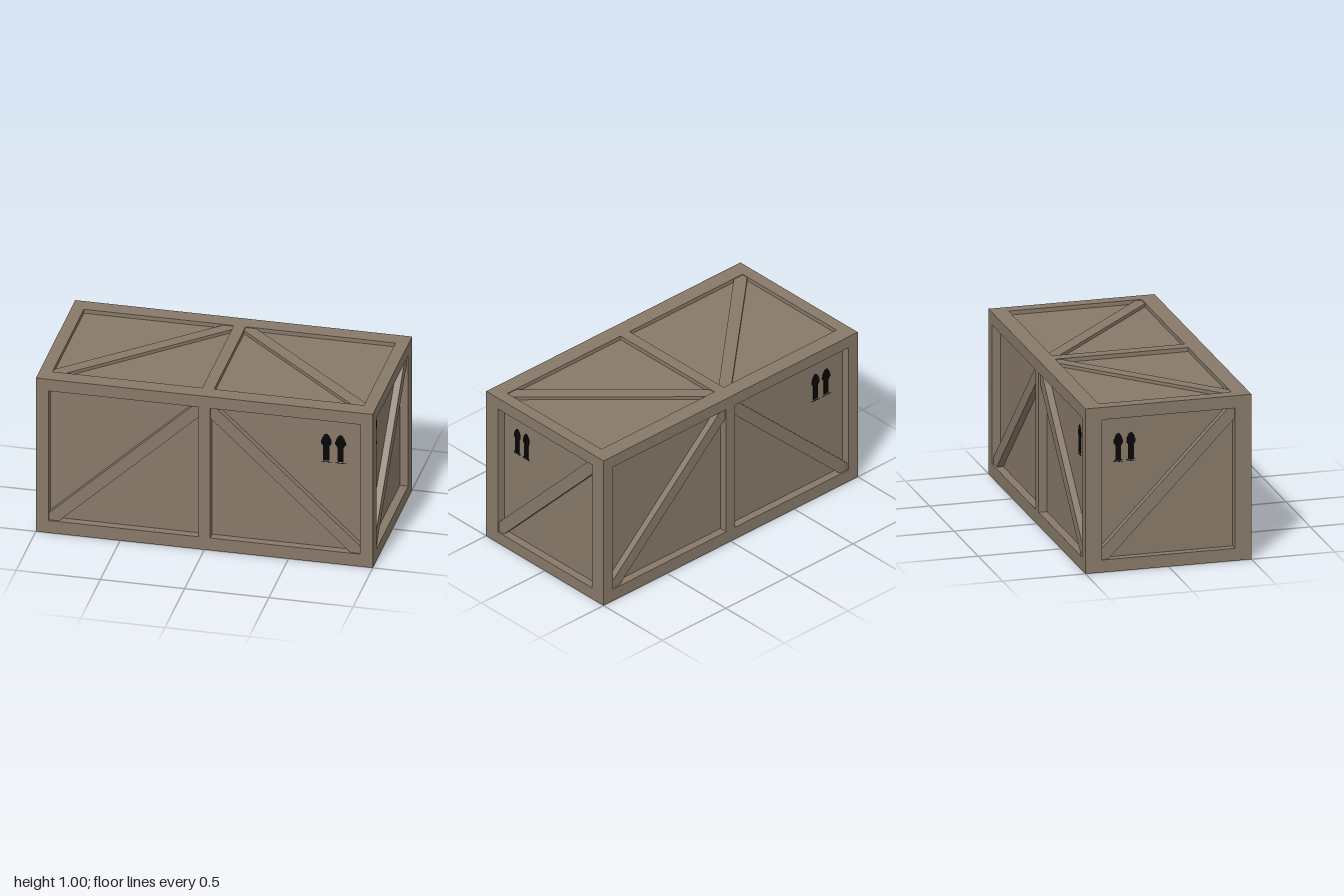
import * as THREE from 'three';

const DEEP = 0.05; // recess of the upright panels behind their frames
const SHALLOW = 0.025; // recess of the lid and base panels

export function createModel() {
  const wood = new THREE.MeshStandardMaterial({ color: 0x887969 });
  wood.name = 'weathered wood';
  const ink = new THREE.MeshStandardMaterial({ color: 0x060606 });
  ink.name = 'black paint';

  const crate = new THREE.Group();
  crate.name = 'crate';

  const polygon = (pts, Type = THREE.Shape) => new Type(pts.map(([x, y]) => new THREE.Vector2(x, y)));
  const rect = (x0, y0, x1, y1) => [[x0, y0], [x1, y0], [x1, y1], [x0, y1]];
  const mirror = (pts) => pts.map(([x, y]) => [-x, y]).reverse();

  function slab(name, shape, depth, z, material, parent) {
    const geometry = new THREE.ExtrudeGeometry(shape, { depth, bevelEnabled: false });
    const mesh = new THREE.Mesh(geometry, material);
    mesh.name = name;
    mesh.position.z = z;
    parent.add(mesh);
    return mesh;
  }

  // One side: local z = 0 is the outer face, +z points outwards
  function side(name, w, h, depth, holes, braces) {
    const group = new THREE.Group();
    group.name = name;
    const frame = polygon(rect(-w / 2, -h / 2, w / 2, h / 2));
    holes.forEach((hole) => frame.holes.push(polygon(rect(...hole).reverse(), THREE.Path)));
    slab('frame', frame, depth, -depth, wood, group);
    braces.forEach((b) => slab('diagonalBrace', polygon(b), depth * 0.8, -depth, wood, group));
    crate.add(group);
    return group;
  }

  // Pair of upward arrows standing on thin ground lines
  function uprightMarks(x, y, spacing, width, height, lines) {
    const group = new THREE.Group();
    group.name = 'uprightMarks';
    group.position.set(x, y, -DEEP);
    const half = [[0.3, 0.05], [0.3, 0.56], [0.42, 0.62], [0.5, 0.65], [0.5, 0.74], [0.36, 0.88], [0.18, 0.97], [0, 1]]
      .map(([px, py]) => [px * width, py * height]);
    const arrow = [...half, ...mirror(half).slice(1)];
    for (const s of [-1, 1]) {
      slab('arrow', polygon(arrow), 0.002, 0, ink, group).position.x = s * spacing;
      for (const ly of lines) {
        const line = polygon(rect(-width / 2, ly - 0.0015, width / 2, ly + 0.0015));
        slab('groundLine', line, 0.002, 0, ink, group).position.x = s * spacing;
      }
    }
    return group;
  }

  // Closed inner box forming the recessed panels
  const core = new THREE.Mesh(new THREE.BoxGeometry(2 - 2 * DEEP, 1 - 2 * SHALLOW, 1 - 2 * DEEP), wood);
  core.name = 'panels';
  core.position.y = 0.5;
  crate.add(core);

  // Long sides and ends, repeated by a half turn
  const longBrace = [[0.865, -0.42], [0.925, -0.42], [0.925, -0.375], [0.07, 0.425], [0.035, 0.425], [0.035, 0.355]];
  const endBrace = [[-0.4, -0.425], [-0.36, -0.425], [0.4, 0.36], [0.4, 0.425], [0.36, 0.425], [-0.4, -0.36]];
  for (const [turn, longName, endName] of [[0, 'frontSide', 'leftEnd'], [Math.PI, 'backSide', 'rightEnd']]) {
    const s = turn ? -1 : 1;
    const long = side(longName, 2, 1, DEEP,
      [[0.035, -0.42, 0.925, 0.425], [-0.925, -0.42, -0.035, 0.425]], [longBrace, mirror(longBrace)]);
    long.add(uprightMarks(0.755, 0.133, 0.042, 0.062, 0.182, [0]));
    long.position.set(0, 0.5, 0.5 * s);
    long.rotation.y = turn;

    const end = side(endName, 1 - 2 * DEEP, 1, DEEP, [[-0.4, -0.425, 0.4, 0.425]], [endBrace]);
    end.add(uprightMarks(-0.25, 0.147, 0.038, 0.056, 0.173, [0, 0.008]));
    end.position.set(s, 0.5, 0);
    end.rotation.y = turn + Math.PI / 2;
  }

  // Lid with two diagonal braces
  const lidBrace = [[0.855, -0.4], [0.925, -0.4], [0.925, -0.36], [0.1, 0.4], [0.035, 0.4], [0.035, 0.36]];
  const lid = side('lid', 2 - 2 * DEEP, 1 - 2 * DEEP, SHALLOW,
    [[0.035, -0.4, 0.925, 0.4], [-0.925, -0.4, -0.035, 0.4]], [lidBrace, mirror(lidBrace)]);
  lid.position.y = 1;
  lid.rotation.x = -Math.PI / 2;

  // Base with two cross bars
  const base = side('base', 2 - 2 * DEEP, 1 - 2 * DEEP, SHALLOW,
    [[-0.925, -0.4, -0.66, 0.4], [-0.59, -0.4, 0.59, 0.4], [0.66, -0.4, 0.925, 0.4]], []);
  base.rotation.x = Math.PI / 2;

  return crate;
}
